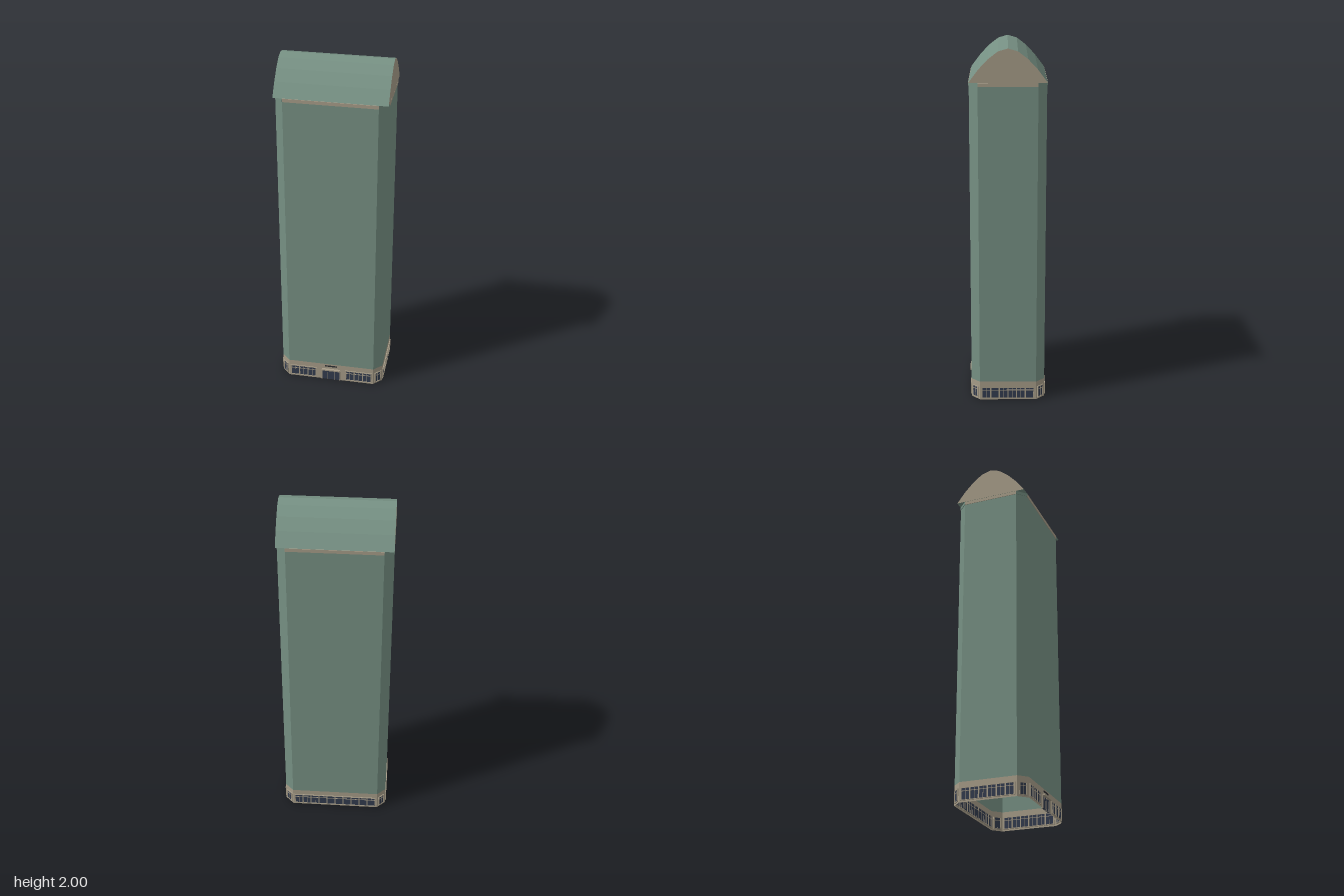
import * as THREE from 'three';

const mat = (name, color, side = THREE.FrontSide) => {
  const m = new THREE.MeshStandardMaterial({ color, side });
  m.name = name;
  return m;
};

export function createModel() {
  const green = mat('green cladding', 0x769083, THREE.DoubleSide);
  const stone = mat('tan stone', 0xa69c88, THREE.DoubleSide);
  const glass = mat('dark blue glass', 0x323b4e);
  const dark = mat('dark sign', 0x2b2d30);

  const model = new THREE.Group();
  model.name = 'tower';
  const HX = 0.304, HZ = 0.208, CUT = 0.048, CZ = -0.005;
  const BASE = 0.11, TOP = 1.8, EAVE = 1.819;

  const add = (parent, name, geo, material, x = 0, y = 0, z = 0) => {
    const m = new THREE.Mesh(geo, material);
    m.name = name;
    m.position.set(x, y, z);
    parent.add(m);
    return m;
  };
  const box = (parent, name, material, w, h, d, x, y, z) =>
    add(parent, name, new THREE.BoxGeometry(w, h, d), material, x, y, z);

  // a row of shop windows with posts, sill and transom, from x0 to x1
  const windows = (wall, x0, x1, bays) => {
    const w = x1 - x0, mid = (x0 + x1) / 2, step = w / bays;
    box(wall, 'shopGlass', glass, w, 0.062, 0.008, mid, 0.043, -0.002);
    box(wall, 'transom', stone, w, 0.003, 0.011, mid, 0.059, -0.0015);
    box(wall, 'sill', stone, w + 0.006, 0.004, 0.013, mid, 0.011, -0.0015);
    box(wall, 'windowHead', stone, w + 0.006, 0.004, 0.013, mid, 0.076, -0.0015);
    for (let i = 0; i <= bays; i++) {
      box(wall, 'post', stone, 0.007, 0.07, 0.013, x0 + i * step, 0.043, -0.0015);
      if (i < bays) box(wall, 'mullion', stone, 0.002, 0.06, 0.011, x0 + (i + 0.5) * step, 0.043, -0.0015);
    }
  };

  // the eight walls of the chamfered plan, local z pointing outwards
  const side = (name, width, x, z, angle, top) => {
    const wall = new THREE.Group();
    wall.name = name;
    wall.position.set(x, 0, z + CZ);
    wall.rotation.y = angle;
    model.add(wall);
    add(wall, 'baseWall', new THREE.PlaneGeometry(width, BASE), stone, 0, BASE / 2, 0);
    add(wall, 'towerWall', new THREE.PlaneGeometry(width, top - BASE), green, 0, (BASE + top) / 2, 0);
    if (top < EAVE) box(wall, 'cornice', stone, width, EAVE - top, 0.008, 0, (EAVE + top) / 2, -0.001);
    return wall;
  };
  const WX = 2 * (HX - CUT), WZ = 2 * (HZ - CUT);
  const front = side('frontWall', WX, 0, HZ, 0, TOP);
  const back = side('backWall', WX, 0, -HZ, Math.PI, TOP);
  windows(back, -0.245, 0.245, 10);
  for (const s of [-1, 1]) {
    windows(front, s > 0 ? 0.09 : -0.245, s > 0 ? 0.245 : -0.09, 3);
    const flank = side(s > 0 ? 'leftWall' : 'rightWall', WZ, s * HX, 0, s * Math.PI / 2, TOP);
    windows(flank, -0.148, 0.148, 6);
    for (const t of [-1, 1]) {
      const angle = Math.atan2(s, t);
      const corner = side('cornerWall', CUT * Math.SQRT2, s * (HX - CUT / 2), t * (HZ - CUT / 2), angle, EAVE);
      windows(corner, -0.02, 0.02, 1);
      box(corner, 'cornerCap', green, CUT * Math.SQRT2 + 0.004, 0.018, 0.006, 0, 1.81, 0);
    }
  }

  // entrance with doors, canopy and sign plate
  box(front, 'entranceGlass', glass, 0.104, 0.066, 0.008, 0, 0.034, -0.002);
  for (const x of [-0.054, -0.024, 0, 0.024, 0.054])
    box(front, 'doorPost', stone, Math.abs(x) > 0.05 ? 0.006 : 0.002, 0.068, 0.011, x, 0.034, -0.0015);
  box(front, 'canopy', stone, 0.11, 0.008, 0.018, 0, 0.073, 0.005);
  box(front, 'signPlate', dark, 0.072, 0.008, 0.004, 0, 0.097, 0.001);

  // vaulted roof with stone gables
  const rise = [[0.2095, 1.82], [0.157, 1.89], [0.105, 1.945], [0.0525, 1.985], [0, 2]];
  const outline = [...rise, ...rise.slice(0, -1).reverse().map(([z, y]) => [-z, y])];
  const gable = new THREE.Shape(outline.map(([z, y]) => new THREE.Vector2(z, y)));
  const roof = new THREE.ExtrudeGeometry(gable, { depth: 0.614, bevelEnabled: false });
  roof.translate(0, 0, -0.307);
  roof.rotateY(Math.PI / 2);
  add(model, 'roof', roof, [stone, green], 0, 0, CZ);

  return model;
}
